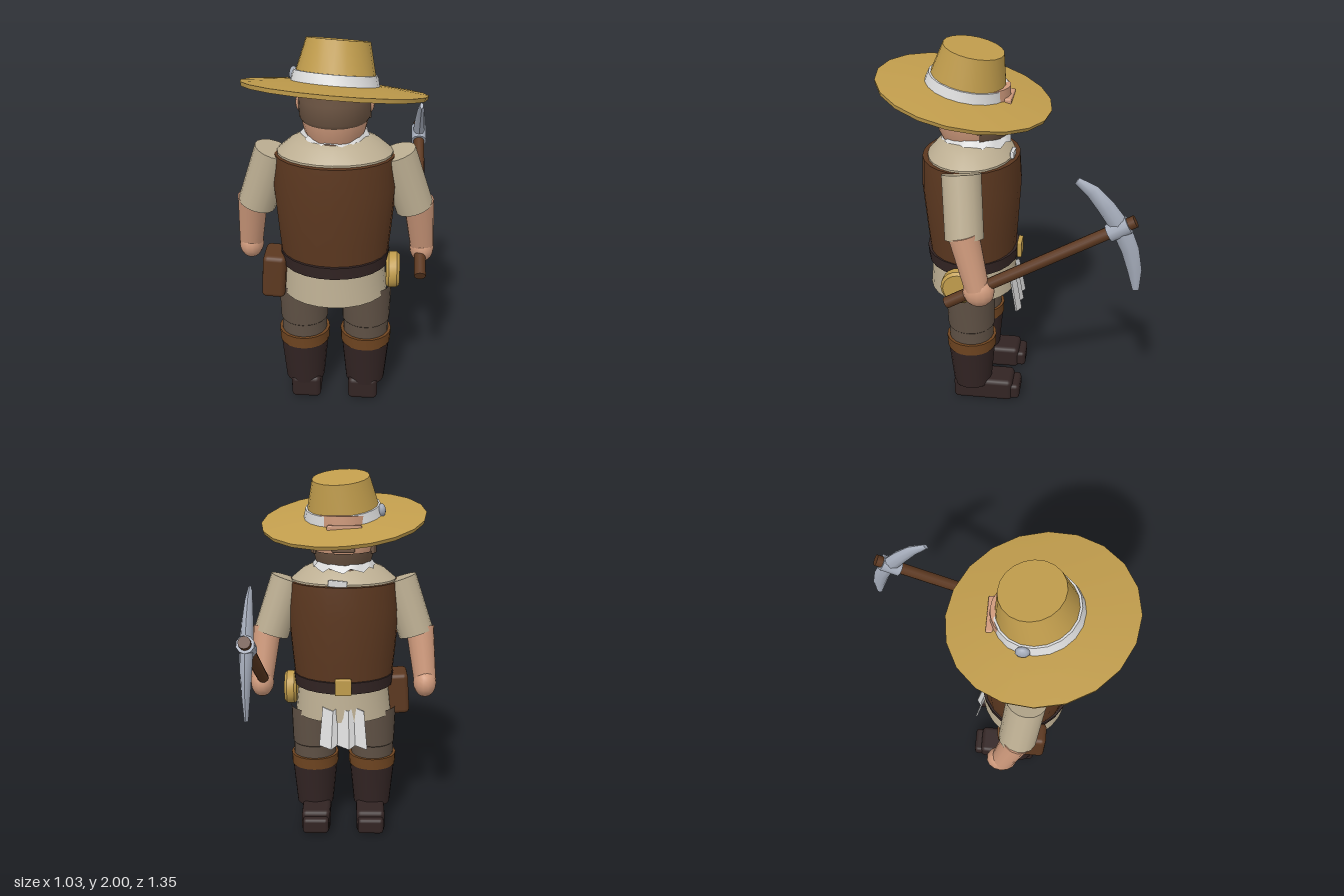
import * as THREE from 'three';
import { toCreasedNormals } from 'three/addons/utils/BufferGeometryUtils.js';
import { RoundedBoxGeometry } from 'three/addons/geometries/RoundedBoxGeometry.js';

const mat = (name, color, side = THREE.FrontSide) => {
  const m = new THREE.MeshStandardMaterial({ color, side });
  m.name = name;
  return m;
};

export function createModel() {
  const straw = mat('straw', 0xc09c4c), white = mat('white cloth', 0xdcdcdc, THREE.DoubleSide);
  const skin = mat('skin', 0xcf9a7c), hairM = mat('hair', 0x6e5644);
  const wool = mat('trouser wool', 0x5e5044), leather = mat('brown leather', 0x5c3820);
  const dark = mat('dark leather', 0x322423), linen = mat('linen', 0xbcae92);
  const tan = mat('cuff leather', 0x6e4420), steel = mat('steel', 0xa4abb9);

  const model = new THREE.Group();
  const add = (name, geo, material, x = 0, y = 0, z = 0, parent = model) => {
    const m = new THREE.Mesh(geo, material);
    m.name = name;
    m.position.set(x, y, z);
    parent.add(m);
    return m;
  };
  // Revolved profile of [radius, y], bottom to top
  const lathe = (pts, seg = 20, start = 0, len = Math.PI * 2) => toCreasedNormals(
    new THREE.LatheGeometry(pts.map(p => new THREE.Vector2(...p)), seg, start, len), 0.6);
  const box = (w, h, d, r = 0.01) => new RoundedBoxGeometry(w, h, d, 2, r);
  // Tapered cylinder from point a to point b
  const limb = (name, a, b, ra, rb, material, seg = 16) => {
    const A = new THREE.Vector3(...a), B = new THREE.Vector3(...b), d = B.clone().sub(A);
    const m = add(name, new THREE.CylinderGeometry(rb, ra, d.length(), seg), material);
    m.position.copy(A).add(B).multiplyScalar(0.5);
    m.quaternion.setFromUnitVectors(new THREE.Vector3(0, 1, 0), d.normalize());
    return m;
  };

  // Torso: elliptical layers of shirt, vest and belt
  const Z = 0.21;
  const torso = (name, pts, material, depth) =>
    add(name, lathe(pts, 24), material, 0, 0, Z).scale.set(1, 1, depth);
  torso('shirtTail', [[0, 0.67], [0.272, 0.67], [0.252, 0.85], [0, 0.85]], linen, 0.87);
  torso('vest', [[0, 0.85], [0.27, 0.85], [0.285, 1], [0.308, 1.27], [0.298, 1.42], [0, 1.42]], leather, 0.84);
  torso('belt', [[0.2, 0.835], [0.274, 0.835], [0.28, 0.9], [0.2, 0.9]], dark, 0.88);
  torso('shirtShoulders', [[0.285, 1.4], [0.285, 1.43], [0.22, 1.485], [0.165, 1.51], [0, 1.52]], linen, 0.78);

  // Neckerchief with a ragged lower edge
  const scarf = new THREE.CylinderGeometry(0.145, 0.172, 0.03, 28, 1, true);
  const sp = scarf.attributes.position;
  for (let i = 29; i < 58; i++) sp.setY(i, sp.getY(i) - 0.012 * ((i - 29) % 28 % 3));
  scarf.computeVertexNormals();
  add('neckerchief', scarf, white, 0, 1.525, 0.185).scale.set(1, 1, 1.04);
  add('neckerchiefEnd', box(0.1, 0.035, 0.02, 0.005), white, 0.03, 1.435, -0.008).rotation.z = 0.1;

  // Head, hair and beard share one profile
  const head = [[0.13, 1.49], [0.15, 1.54], [0.166, 1.61], [0.17, 1.7], [0.168, 1.78]];
  const shell = (pts, s, len) => lathe(pts.map(([r, y]) => [r + 0.007, y]), 14, s, len);
  add('head', lathe([...head, [0, 1.8]], 24), skin, 0, 0, 0.2).scale.z = 1.15;
  add('hair', shell([[0.155, 1.592], [0.166, 1.61], [0.17, 1.7], [0.168, 1.78]], -1.4, 2.8),
    hairM, 0, 0, 0.2).scale.z = 1.15;
  add('beard', shell([[0.133, 1.5], [0.15, 1.54], [0.162, 1.59]], Math.PI - 1.25, 2.5),
    hairM, 0, 0, 0.2).scale.z = 1.15;
  add('moustache', box(0.12, 0.03, 0.03), hairM, 0, 1.61, 0.008);
  add('nose', box(0.05, 0.05, 0.05, 0.018), skin, 0, 1.645, 0.002);
  add('brow', box(0.18, 0.045, 0.035, 0.008), skin, -0.005, 1.713, 0.012);
  for (const s of [-1, 1]) {
    add('ear', new THREE.SphereGeometry(0.04, 10, 8), skin, s * 0.17, 1.665, 0.205).scale.set(0.5, 1, 0.7);
    add('sideburn', box(0.02, 0.06, 0.05, 0.005), hairM, s * 0.158, 1.605, 0.13).rotation.y = s * 0.35;
  }

  // Tilted straw hat
  const hat = new THREE.Group();
  hat.name = 'hat';
  hat.position.set(0, 1.75, 0.237);
  hat.rotation.set(-0.204, 0, -0.07);
  model.add(hat);
  add('brim', lathe([[0.14, 0], [0.3, -0.012], [0.44, -0.02], [0.445, 0], [0.3, 0.015], [0.19, 0.022]]),
    straw, 0, 0, 0, hat);
  add('crown', lathe([[0.204, 0.01], [0.152, 0.222], [0, 0.222]]), straw, 0, 0, -0.008, hat);
  add('hatBand', lathe([[0.2, 0.015], [0.213, 0.018], [0.2, 0.07], [0.185, 0.07]]), white, 0, 0, -0.008, hat);
  add('hatButton', new THREE.SphereGeometry(0.035, 10, 8), steel, -0.205, 0.045, -0.06, hat).scale.x = 0.6;

  // Arms and legs, mirrored
  for (const s of [-1, 1]) {
    limb('sleeve', [s * 0.4, 1.125, 0.185], [s * 0.3, 1.425, 0.21], 0.097, 0.098, linen);
    limb('forearm', [s * 0.45, 0.88, 0.12], [s * 0.42, 1.16, 0.185], 0.062, 0.077, skin);
    add('hand', new THREE.SphereGeometry(0.08, 14, 10), skin, s * 0.45, 0.86, 0.112).scale.set(0.8, 1, 1);

    const leg = new THREE.Group();
    leg.name = 'leg';
    leg.position.set(s * 0.165, 0, 0.205);
    model.add(leg);
    add('trouserLeg', lathe([[0.12, 0.36], [0.121, 0.48], [0.126, 0.485], [0.133, 0.7]]), wool, 0, 0, 0, leg);
    add('bootCuff', lathe([[0.11, 0.345], [0.133, 0.345], [0.136, 0.41], [0.11, 0.41]]), tan, 0, 0, 0, leg);
    add('bootShaft', lathe([[0, 0.1], [0.105, 0.1], [0.13, 0.36]]), dark, 0, 0, 0, leg);
    add('shoe', box(0.16, 0.13, 0.33, 0.025), dark, -s * 0.01, 0.065, -0.065, leg);
    add('toeCap', box(0.145, 0.09, 0.11, 0.02), dark, -s * 0.01, 0.056, -0.215, leg);
  }

  // Things hung on the belt
  add('buckle', box(0.09, 0.09, 0.025, 0.006), straw, 0, 0.88, -0.043);
  add('pouch', box(0.12, 0.235, 0.18, 0.025), leather, -0.307, 0.77, 0.25).rotation.z = -0.06;
  const disc = add('brassPan', lathe([[0, -0.035], [0.08, -0.035], [0.094, -0.02],
    [0.094, 0.02], [0.08, 0.035], [0, 0.035]]), straw, 0.3, 0.79, 0.24);
  disc.rotation.z = Math.PI / 2;

  // Pleated cloth hanging from the front of the belt
  const cloth = new THREE.BoxGeometry(0.25, 0.21, 0.008, 8, 3, 1);
  const cp = cloth.attributes.position;
  for (let i = 0; i < cp.count; i++) {
    const k = Math.round((cp.getX(i) / 0.25 + 0.5) * 8), fold = (k % 3 - 1) * 0.01;
    const t = 0.5 - cp.getY(i) / 0.21;
    cp.setXYZ(i, cp.getX(i) * (0.9 + 0.15 * t), cp.getY(i) + fold * 0.9, cp.getZ(i) + fold - 0.035 * t);
  }
  add('cloth', toCreasedNormals(cloth, 0.3), white, 0, 0.64, -0.012);

  // Pickaxe: handle, collar and a curved head shaped from cross-sections
  const px = 0.44;
  limb('pickHandle', [px, 0.775, 0.28], [px, 1.295, -0.63], 0.03, 0.03, leather, 12);
  // z, y, half width, half thickness
  const secs = [[-0.655, 0.925, 0.016, 0.01], [-0.643, 1.03, 0.034, 0.02], [-0.615, 1.14, 0.042, 0.028],
    [-0.565, 1.255, 0.047, 0.034], [-0.49, 1.36, 0.042, 0.028], [-0.425, 1.435, 0.034, 0.02],
    [-0.352, 1.485, 0.018, 0.01]];
  const n = secs.length;
  const pick = new THREE.CylinderGeometry(1, 1, 1, 8, n - 1);
  const pp = pick.attributes.position;
  for (let i = 0; i < pp.count; i++) {
    const k = Math.round((pp.getY(i) + 0.5) * (n - 1));
    const [z, y, w, t] = secs[k], a = secs[Math.max(k - 1, 0)], b = secs[Math.min(k + 1, n - 1)];
    const len = Math.hypot(b[0] - a[0], b[1] - a[1]);
    const tz = (b[0] - a[0]) / len, ty = (b[1] - a[1]) / len, q = pp.getZ(i) * w;
    pp.setXYZ(i, pp.getX(i) * t, y - tz * q, z + ty * q);
  }
  add('pickHead', toCreasedNormals(pick, 0.9), steel, px);
  limb('pickCollar', [px, 1.225, -0.51], [px, 1.277, -0.6], 0.044, 0.044, steel, 10);

  return model;
}
